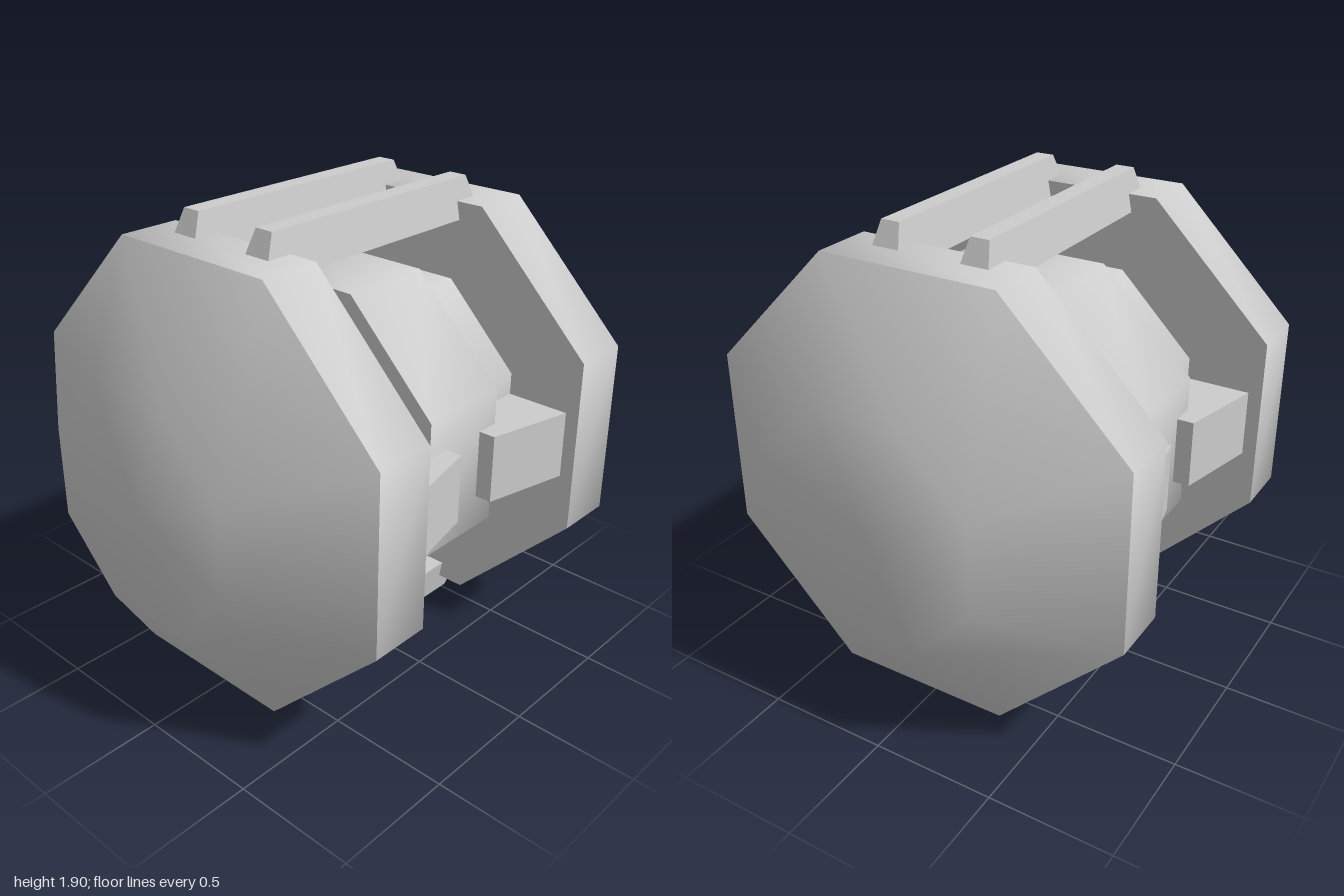
import * as THREE from 'three';
import { toCreasedNormals } from 'three/addons/utils/BufferGeometryUtils.js';

const CENTRE_Y = 0.95;
const CORNER = 1 / Math.cos(Math.PI / 8); // flat-to-flat half width -> corner radius

// Octagonal solid around the x axis; profile is [half width across flats, x] with x ascending
function octagonal(profile) {
  const points = profile.map(([r, x]) => new THREE.Vector2(r * CORNER, x));
  const geometry = new THREE.LatheGeometry(points, 8, Math.PI / 8);
  geometry.rotateZ(-Math.PI / 2);
  return toCreasedNormals(geometry, 0.9);
}

// Box whose vertices are moved by a rule
function shapedBox(w, h, d, rule) {
  const geometry = new THREE.BoxGeometry(w, h, d);
  const p = geometry.attributes.position;
  const v = new THREE.Vector3();
  for (let i = 0; i < p.count; i++) {
    v.fromBufferAttribute(p, i);
    rule(v);
    p.setXYZ(i, v.x, v.y, v.z);
  }
  const flat = geometry.toNonIndexed();
  flat.computeVertexNormals();
  return flat;
}

export function createModel() {
  const model = new THREE.Group();
  model.name = 'octagonalSpool';
  const body = new THREE.Group();
  body.name = 'body';
  body.position.y = CENTRE_Y;
  model.add(body);
  const material = new THREE.MeshStandardMaterial({ color: 0xcccccc });

  function add(name, geometry) {
    const mesh = new THREE.Mesh(geometry, material);
    mesh.name = name;
    body.add(mesh);
    return mesh;
  }

  // Core drum and its raised middle band
  add('coreDrum', octagonal([[0, -0.47], [0.545, -0.47], [0.545, 0.47], [0, 0.47]]));
  add('middleBand', octagonal([[0, -0.195], [0.66, -0.195], [0.66, 0.195], [0, 0.195]]));

  // End wheels: flat rim with a tapered outer cap
  const wheel = octagonal([[0, 0.457], [0.862, 0.457], [0.862, 0.703], [0.435, 1], [0, 1]]);
  add('leftWheel', wheel);
  add('rightWheel', wheel).rotation.y = Math.PI;

  // Tapered bars bridging the wheels, two on top and two below
  const bar = shapedBox(2, 0.16, 2, (v) => {
    const top = v.y > 0;
    v.x *= top ? 0.525 : 0.59;
    v.z *= top ? 0.038 : 0.07;
  });
  for (const up of [1, -1]) {
    for (const side of [1, -1]) {
      const mesh = add(up > 0 ? 'topBar' : 'bottomBar', bar);
      mesh.position.set(0, up * 0.87, side * 0.183);
      if (up < 0) mesh.rotation.x = Math.PI;
    }
  }

  // Sloped blocks reaching inward from each wheel, front and back
  const innerX = 0.1, outerX = 0.5;
  const block = shapedBox(1, 0.275, 1, (v) => {
    const outer = v.x > 0;
    v.x = outer ? outerX : innerX;
    v.z = v.z > 0 ? (outer ? 0.816 : 0.727) : 0.5;
  });
  // Mirrored in x for the opposite wheel
  const mirrored = shapedBox(1, 0.275, 1, (v) => {
    const outer = v.x < 0;
    v.x = outer ? -outerX : -innerX;
    v.z = v.z > 0 ? (outer ? 0.816 : 0.727) : 0.5;
  });
  for (const geometry of [block, mirrored]) {
    add('frontBlock', geometry);
    add('backBlock', geometry).rotation.y = Math.PI;
  }

  return model;
}
